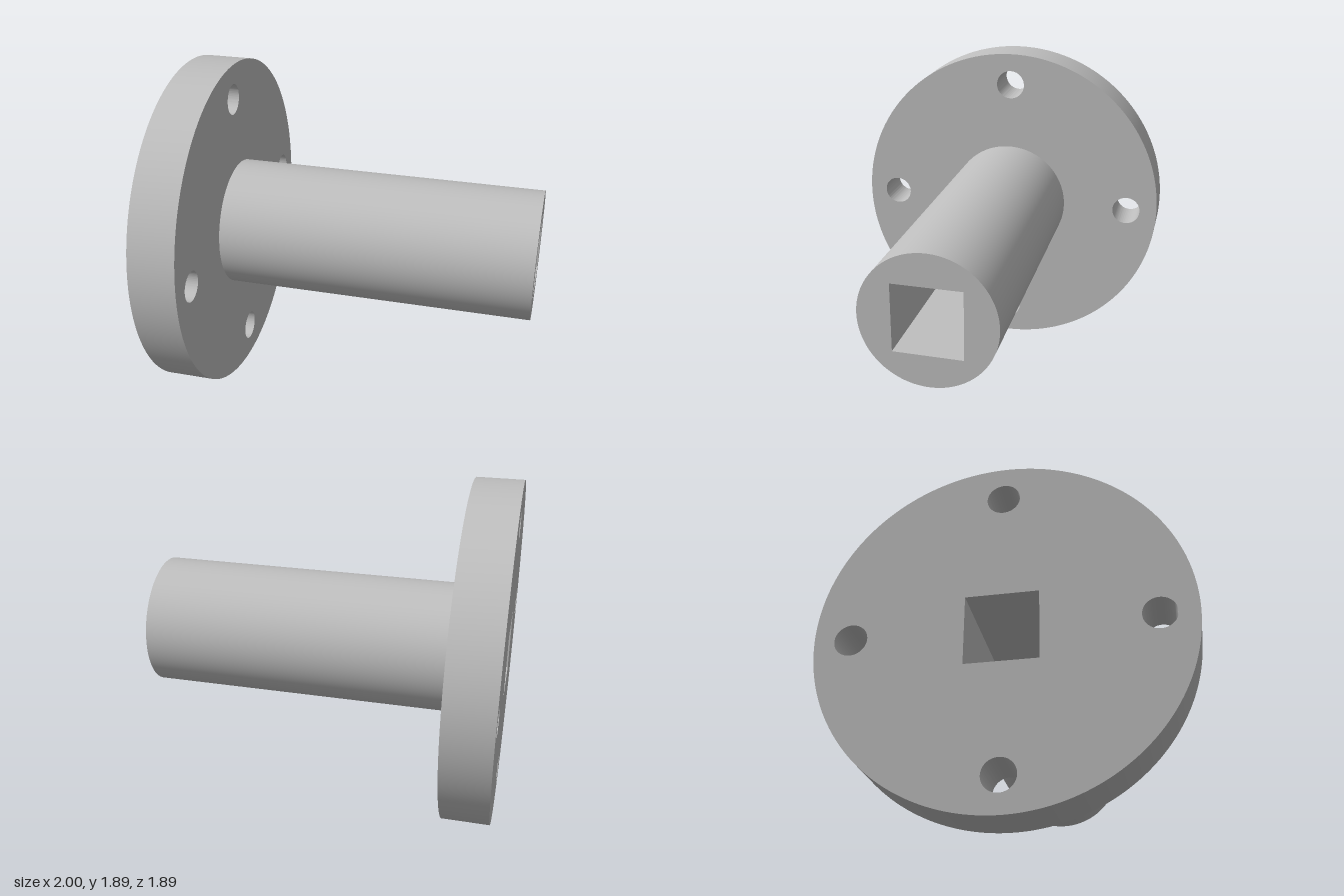
import * as THREE from 'three';
import { toCreasedNormals } from 'three/addons/utils/BufferGeometryUtils.js';

const AXIS_Y = 0.947;      // height of the shaft axis
const FLANGE_R = 0.947;
const SLEEVE_R = 0.362;
const BORE = 0.185;        // half width of the square bore
const BOLT_R = 0.085;
const BOLT_CIRCLE = 0.758;
const FLANGE_X = -0.74;    // where flange and sleeve meet

function circle(Type, x, y, r) {
  return new Type().absarc(x, y, r, 0, Math.PI * 2, false);
}

// Disc with the square bore cut through it
function boredDisc(radius) {
  const shape = circle(THREE.Shape, 0, 0, radius);
  shape.holes.push(new THREE.Path([
    new THREE.Vector2(-BORE, -BORE),
    new THREE.Vector2(-BORE, BORE),
    new THREE.Vector2(BORE, BORE),
    new THREE.Vector2(BORE, -BORE),
    new THREE.Vector2(-BORE, -BORE),
  ]));
  return shape;
}

// Extrude a shape along x between two stations
function extrudeAlongX(shape, x0, x1) {
  const geometry = new THREE.ExtrudeGeometry(shape, {
    depth: x1 - x0, bevelEnabled: false, curveSegments: 96,
  });
  geometry.rotateY(Math.PI / 2).translate(x0, AXIS_Y, 0);
  return toCreasedNormals(geometry, Math.PI / 6);
}

export function createModel() {
  const group = new THREE.Group();
  group.name = 'flangedSleeve';
  const steel = new THREE.MeshStandardMaterial({ color: 0xbfbfbf });
  steel.name = 'steel grey';

  // Flange with four bolt holes
  const flangeShape = boredDisc(FLANGE_R);
  for (let i = 0; i < 4; i++) {
    const a = i * Math.PI / 2;
    flangeShape.holes.push(circle(THREE.Path,
      BOLT_CIRCLE * Math.cos(a), BOLT_CIRCLE * Math.sin(a), BOLT_R));
  }
  const flange = new THREE.Mesh(extrudeAlongX(flangeShape, -1, FLANGE_X), steel);
  flange.name = 'flange';

  // Sleeve with the square bore
  const sleeve = new THREE.Mesh(extrudeAlongX(boredDisc(SLEEVE_R), FLANGE_X, 1), steel);
  sleeve.name = 'sleeve';

  group.add(flange, sleeve);
  return group;
}
